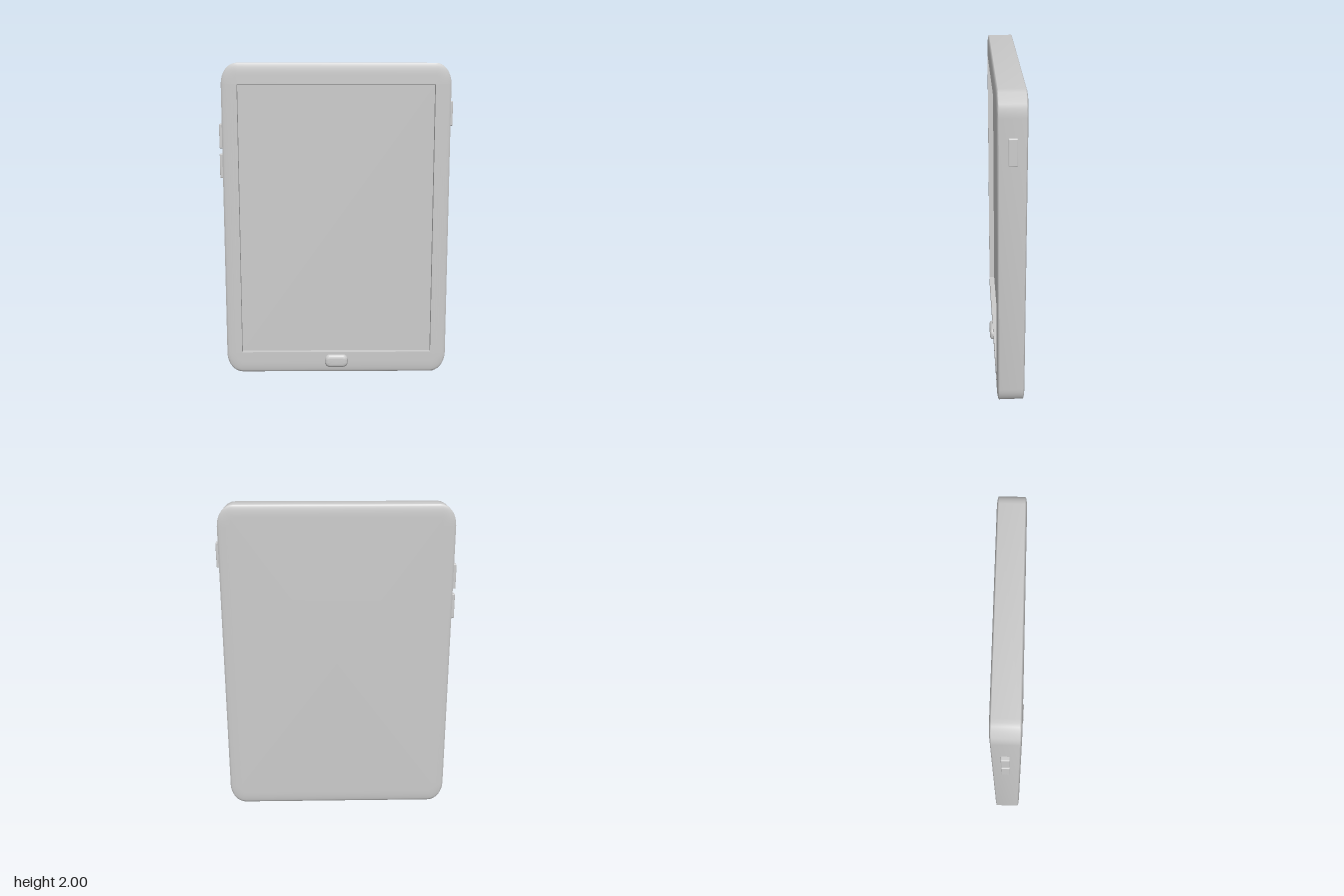
import * as THREE from 'three';
import { toCreasedNormals } from 'three/addons/utils/BufferGeometryUtils.js';
import { RoundedBoxGeometry } from 'three/addons/geometries/RoundedBoxGeometry.js';

const material = new THREE.MeshStandardMaterial({ color: 0xcccccc });
const CORNER_STEPS = 8;

function addMesh(group, name, geometry, x = 0, y = 0, z = 0) {
  const mesh = new THREE.Mesh(geometry, material);
  mesh.name = name;
  mesh.position.set(x, y, z);
  group.add(mesh);
}

// Counter-clockwise rounded rectangle; zero radii collapse onto the corners
function ring(hx, hy, rx, ry, z, cy = 0) {
  const points = [];
  [[1, 1], [-1, 1], [-1, -1], [1, -1]].forEach(([sx, sy], q) => {
    for (let i = 0; i <= CORNER_STEPS; i++) {
      const a = (q + i / CORNER_STEPS) * Math.PI / 2;
      points.push(new THREE.Vector3(
        sx * (hx - rx) + rx * Math.cos(a), cy + sy * (hy - ry) + ry * Math.sin(a), z));
    }
  });
  return points;
}

// Skin consecutive rings, skipping collapsed triangles
function loft(rings, crease = 0.9) {
  const positions = [];
  const triangle = (a, b, c) => {
    if (Math.min(a.distanceTo(b), b.distanceTo(c), c.distanceTo(a)) < 1e-6) return;
    for (const p of [a, b, c]) positions.push(p.x, p.y, p.z);
  };
  for (let k = 0; k < rings.length - 1; k++) {
    const a = rings[k], b = rings[k + 1];
    for (let i = 0; i < a.length; i++) {
      const j = (i + 1) % a.length;
      triangle(a[i], a[j], b[j]);
      triangle(a[i], b[j], b[i]);
    }
  }
  const geometry = new THREE.BufferGeometry();
  geometry.setAttribute('position', new THREE.Float32BufferAttribute(positions, 3));
  return toCreasedNormals(geometry, crease);
}

// Rings of a slab with softly rounded back and front edges
function slabRings(hx, hy, rx, ry, back, front, inset, depth) {
  const steps = 8, rings = [];
  const edge = (t, z, dir) => {
    const d = inset * (1 - Math.cos(t));
    return ring(hx - d, hy - d, rx - d, ry - d, z + dir * depth * Math.sin(t));
  };
  for (let i = steps; i >= 0; i--) rings.push(edge(i / steps * Math.PI / 2, back + depth, -1));
  for (let i = 0; i <= steps; i++) rings.push(edge(i / steps * Math.PI / 2, front - depth, 1));
  return rings;
}

export function createModel() {
  const model = new THREE.Group();
  model.name = 'tablet';

  // Casing with a rectangular recess in its front
  const back = -0.097, front = 0.073, floor = 0.038, cx = 0.002;
  addMesh(model, 'casing', loft([
    ring(0, 0, 0, 0, back),
    ...slabRings(0.717, 1, 0.1, 0.13, back, front, 0.075, 0.012),
    ring(0.618, 0.865, 0, 0, front, 0.001),
    ring(0.618, 0.865, 0, 0, floor, 0.001),
  ]), cx, 1, 0);

  // Screen at the bottom of the recess
  addMesh(model, 'screen', new THREE.PlaneGeometry(1.236, 1.73), cx, 1.001, floor);

  // Pill-shaped button below the screen
  addMesh(model, 'homeButton', loft([
    ...slabRings(0.076, 0.043, 0.035, 0.035, 0.045, 0.095, 0.024, 0.022),
    ring(0, 0, 0, 0, 0.095),
  ]), cx, 0.077, 0);

  // Side buttons
  const buttons = [['powerButton', 1, 1.688], ['volumeUpButton', -1, 1.546], ['volumeDownButton', -1, 1.356]];
  for (const [name, side, y] of buttons) {
    addMesh(model, name, new RoundedBoxGeometry(0.06, 0.155, 0.05, 3, 0.005), side * 0.71, y, -0.014);
  }
  return model;
}
